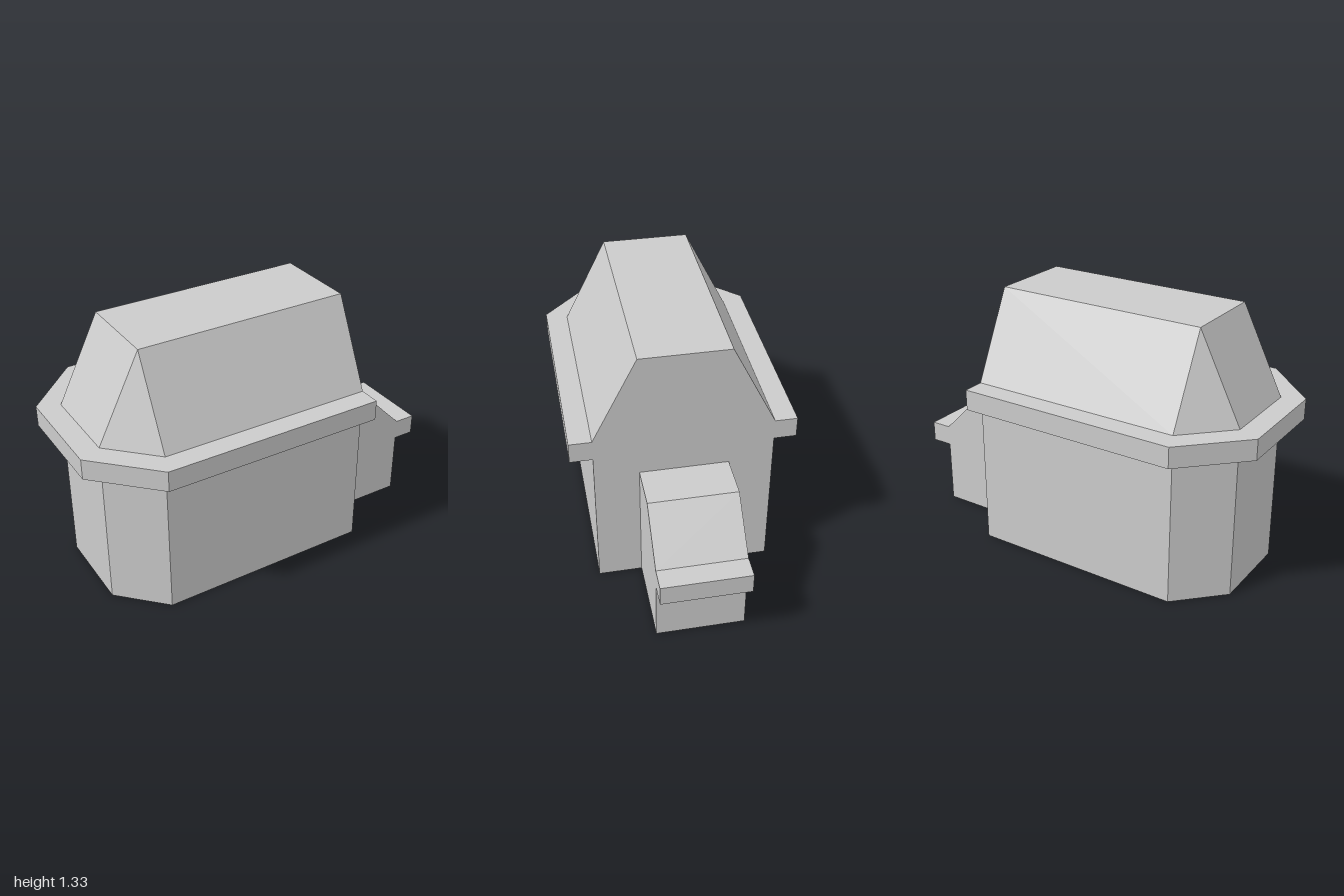
import * as THREE from 'three';
import { ConvexGeometry } from 'three/addons/geometries/ConvexGeometry.js';

const material = new THREE.MeshStandardMaterial({ color: 0xcccccc, flatShading: true });
const END = 0.444; // x of the flat gable wall

function extrude(points, depth) {
  const shape = new THREE.Shape(points.map(([x, y]) => new THREE.Vector2(x, y)));
  return new THREE.ExtrudeGeometry(shape, { depth, bevelEnabled: false });
}

// Plan symmetric about z = 0, with the two corners at -x cut off
function plan(halfWidth, cornerX, tipX, tipHalfWidth) {
  return [
    [END, -halfWidth], [END, halfWidth], [cornerX, halfWidth],
    [tipX, tipHalfWidth], [tipX, -tipHalfWidth], [cornerX, -halfWidth],
  ];
}

function slab(points, y0, y1) {
  return extrude(points, y1 - y0).rotateX(-Math.PI / 2).translate(0, y0, 0);
}

export function createModel() {
  const group = new THREE.Group();
  const add = (name, geometry) => {
    const mesh = new THREE.Mesh(geometry, material);
    mesh.name = name;
    group.add(mesh);
  };

  // Main body and the eaves ledge around it
  const bodyPlan = plan(0.444, -0.667, -0.889, 0.222);
  add('walls', slab(bodyPlan, 0, 0.8));
  add('eaves', slab(plan(0.556, -0.711, -1, 0.267), 0.782, 0.889));

  // Roof: body plan tapering to a flat ridge
  const roofPoints = bodyPlan.map(([x, z]) => new THREE.Vector3(x, 0.889, z));
  for (const x of [END, -0.667]) {
    for (const z of [-0.222, 0.222]) roofPoints.push(new THREE.Vector3(x, 1.333, z));
  }
  add('roof', new ConvexGeometry(roofPoints));

  // Low annex with a sloped roof and an overhanging lip
  const annex = [
    [END, 0], [0.889, 0], [0.889, 0.336], [1, 0.336],
    [1, 0.444], [0.889, 0.444], [0.667, 0.667], [END, 0.667],
  ];
  add('annex', extrude(annex, 0.444).translate(0, 0, -0.222));

  return group;
}
